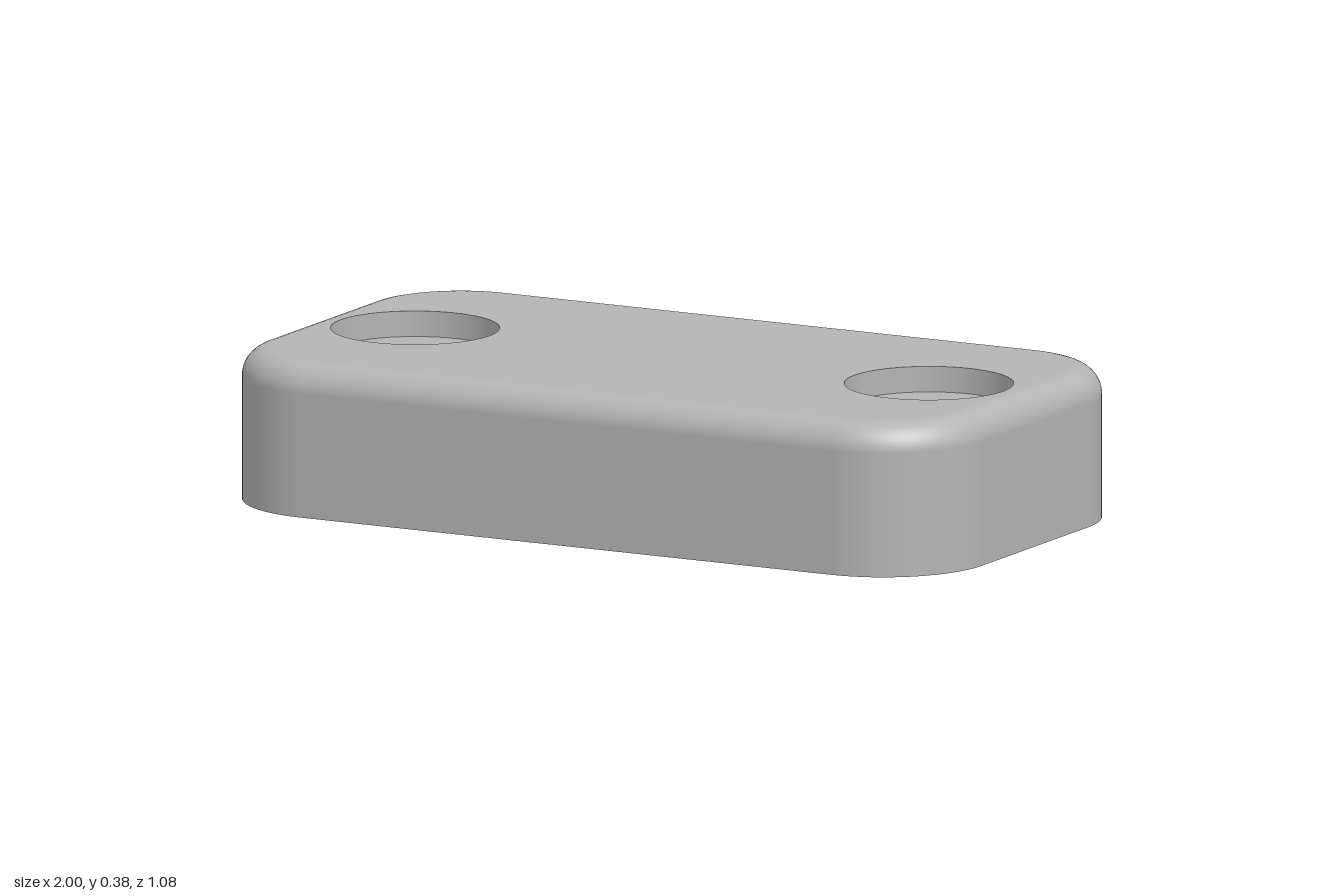
import * as THREE from 'three';

const H = 0.375;                                   // plate height
const BODY = { w: 1, d: 0.54, r: 0.27 };           // half width, half depth, corner radius
const FILLET = 0.07;
const POCKET = { w: 0.45, d: 0.37, r: 0.05 };
const POCKET_TOP = 0.2;
const HOLE_X = 0.708, HOLE_R = 0.109, BORE_R = 0.205, BORE_FLOOR = H - 0.063;

const circle = (r, x = 0) => ({ w: r, d: r, r, x });

// Rounded rectangle outline with outward normals; a circle when w = d = r
function outline({ w, d, r, x = 0 }, n = 16) {
  const pts = [];
  [[1, 1], [-1, 1], [-1, -1], [1, -1]].forEach(([sx, sz], k) => {
    for (let i = 0; i <= n; i++) {
      const a = (k + i / n) * Math.PI / 2, nx = Math.cos(a), nz = Math.sin(a);
      pts.push({ x: x + sx * (w - r) + r * nx, z: sz * (d - r) + r * nz, nx, nz });
    }
  });
  return pts;
}

// Smooth wall swept round an outline; each ring is { y, inset, tilt }
function wall(spec, rings, inward = false) {
  const pts = outline(spec), n = pts.length, pos = [], nor = [], idx = [];
  const s = inward ? -1 : 1;
  rings.forEach(({ y, inset = 0, tilt = 0 }, i) => {
    pts.forEach((p, j) => {
      pos.push(p.x - p.nx * inset, y, p.z - p.nz * inset);
      nor.push(s * p.nx * Math.cos(tilt), Math.sin(tilt), s * p.nz * Math.cos(tilt));
      if (i === rings.length - 1) return;
      const a = i * n + j, b = i * n + (j + 1) % n, c = a + n, d = b + n;
      if (inward) idx.push(a, b, c, b, d, c);
      else idx.push(a, c, b, b, c, d);
    });
  });
  const g = new THREE.BufferGeometry();
  g.setAttribute('position', new THREE.Float32BufferAttribute(pos, 3));
  g.setAttribute('normal', new THREE.Float32BufferAttribute(nor, 3));
  g.setIndex(idx);
  return g;
}

// Flat horizontal face with openings, facing up (1) or down (-1)
function face(spec, holes, y, dir) {
  const to2D = (o) => outline(o).map((p) => new THREE.Vector2(p.x, p.z));
  const shape = new THREE.Shape(to2D(spec));
  shape.holes = holes.map((o) => new THREE.Path(to2D(o)));
  return new THREE.ShapeGeometry(shape).rotateX(-dir * Math.PI / 2).translate(0, y, 0);
}

export function createModel() {
  const group = new THREE.Group();
  const grey = new THREE.MeshStandardMaterial({ color: 0xb4b4b4 });
  grey.name = 'grey';
  const add = (name, geometry) => {
    const mesh = new THREE.Mesh(geometry, grey);
    mesh.name = name;
    group.add(mesh);
  };
  const pair = (r) => [-HOLE_X, HOLE_X].map((x) => circle(r, x));

  // Outer side with rounded top edge
  const rings = [{ y: 0 }];
  for (let i = 0; i <= 10; i++) {
    const tilt = i / 10 * Math.PI / 2;
    rings.push({ y: H - FILLET + FILLET * Math.sin(tilt), inset: FILLET * (1 - Math.cos(tilt)), tilt });
  }
  add('outerSide', wall(BODY, rings));

  // Top and bottom faces
  const top = { w: BODY.w - FILLET, d: BODY.d - FILLET, r: BODY.r - FILLET };
  add('topFace', face(top, pair(BORE_R), H, 1));
  add('bottomFace', face(BODY, [...pair(HOLE_R), POCKET], 0, -1));

  // Recess in the underside
  add('pocketWall', wall(POCKET, [{ y: 0 }, { y: POCKET_TOP }], true));
  add('pocketCeiling', face(POCKET, [], POCKET_TOP, -1));

  // Counterbored screw holes
  [['right', -HOLE_X], ['left', HOLE_X]].forEach(([side, x]) => {
    add(side + 'CounterboreWall', wall(circle(BORE_R, x), [{ y: BORE_FLOOR }, { y: H }], true));
    add(side + 'CounterboreFloor', face(circle(BORE_R, x), [circle(HOLE_R, x)], BORE_FLOOR, 1));
    add(side + 'ScrewHole', wall(circle(HOLE_R, x), [{ y: 0 }, { y: BORE_FLOOR }], true));
  });
  return group;
}
